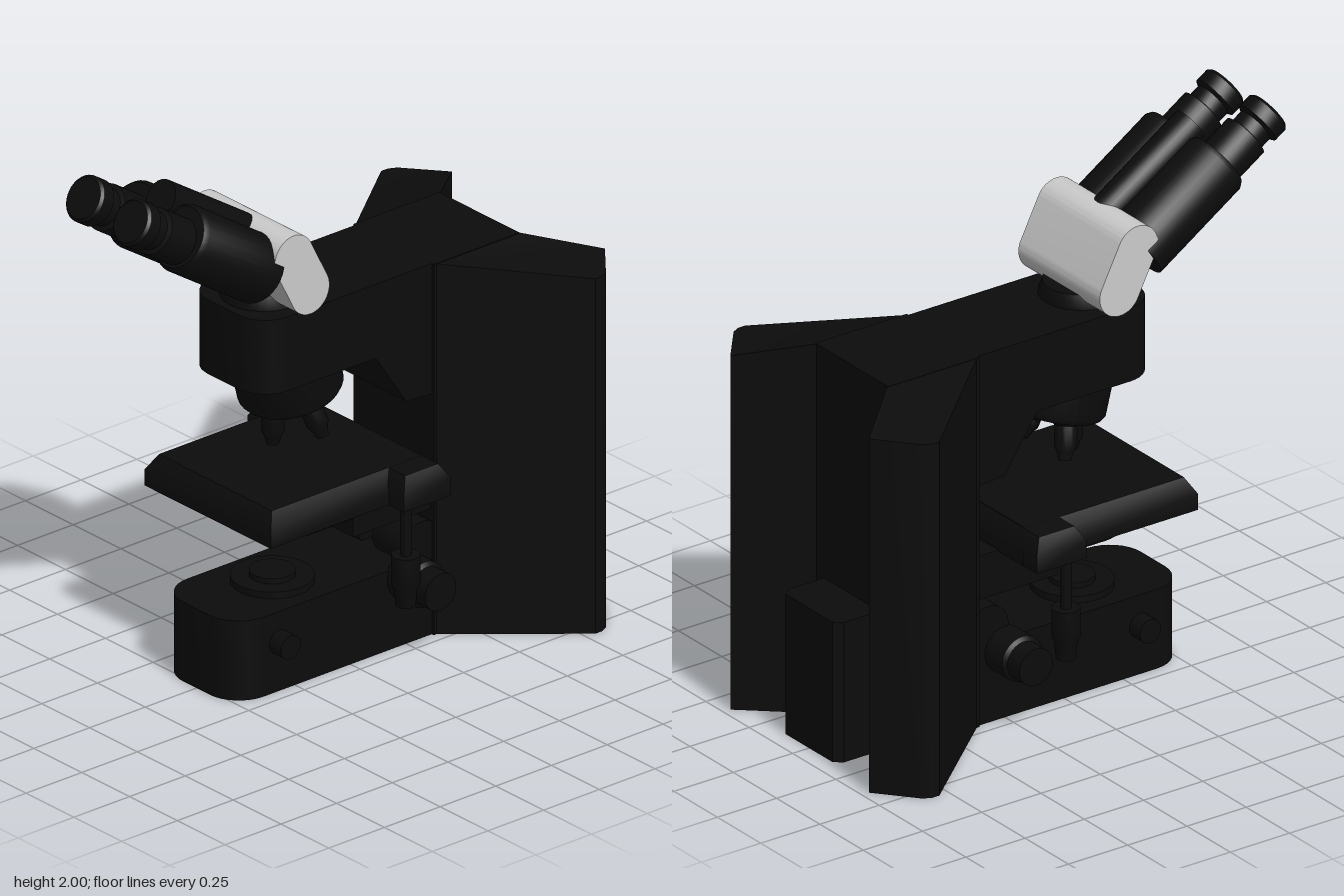
import * as THREE from 'three';
import { toCreasedNormals } from 'three/addons/utils/BufferGeometryUtils.js';

const black = new THREE.MeshStandardMaterial({ color: 0x0c0c0c });
const grey = new THREE.MeshStandardMaterial({ color: 0xcccccc });

function part(parent, name, geo, x = 0, y = 0, z = 0, mat = black) {
  const mesh = new THREE.Mesh(toCreasedNormals(geo, 0.6), mat);
  mesh.name = name;
  mesh.position.set(x, y, z);
  parent.add(mesh);
  return mesh;
}

function box(parent, name, x0, x1, y0, y1, z0, z1) {
  const geo = new THREE.BoxGeometry(x1 - x0, y1 - y0, z1 - z0);
  return part(parent, name, geo, (x0 + x1) / 2, (y0 + y1) / 2, (z0 + z1) / 2);
}

// Turned part: [radius, height] points, closed by the axis
function turned(points, seg = 32) {
  return new THREE.LatheGeometry(points.map(p => new THREE.Vector2(p[0], p[1])), seg);
}

// Outline of [x, z] points raised from the ground plane
function fromPlan(points, height) {
  const shape = new THREE.Shape(points.map(([x, z]) => new THREE.Vector2(x, -z)));
  return new THREE.ExtrudeGeometry(shape, { depth: height, bevelEnabled: false }).rotateX(-Math.PI / 2);
}

// Side outline (z, y) extruded across x, centred
function fromSide(shape, width) {
  return new THREE.ExtrudeGeometry(shape, { depth: width, bevelEnabled: false, curveSegments: 16 })
    .rotateY(-Math.PI / 2).translate(width / 2, 0, 0);
}

// Block outline with rounded front corners
function roundedFront(half, back, front, r) {
  const pts = [[-half, back], [half, back]];
  for (const side of [1, -1]) {
    for (let i = 0; i <= 8; i++) {
      const a = (side > 0 ? i : 8 - i) / 8 * Math.PI / 2;
      pts.push([side * (half - r + r * Math.cos(a)), front - r + r * Math.sin(a)]);
    }
  }
  return pts;
}

// Box whose top edge is chamfered
function chamferedSlab(x, y0, y1, z0, z1, inset, drop) {
  const geo = new THREE.BoxGeometry(2 * x, y1 - y0, z1 - z0, 1, 2, 1);
  const p = geo.attributes.position, h = (y1 - y0) / 2;
  for (let i = 0; i < p.count; i++) {
    if (p.getY(i) > h - 0.001) {
      p.setX(i, p.getX(i) - Math.sign(p.getX(i)) * inset);
      p.setZ(i, p.getZ(i) - Math.sign(p.getZ(i)) * inset);
    } else if (Math.abs(p.getY(i)) < 0.001) p.setY(i, h - drop);
  }
  return geo.translate(0, (y0 + y1) / 2, (z0 + z1) / 2);
}

function buildStand(g) {
  part(g, 'base', fromPlan(roundedFront(0.2, -0.4, 0.52, 0.13), 0.3));
  box(g, 'column', -0.21, 0.21, 0, 1.4, -0.75, -0.365);
  part(g, 'armHead', fromPlan(roundedFront(0.2, -0.4, 0.4, 0.12), 0.28), 0, 1.12, 0);
  const gusset = new THREE.Shape([[-0.4, 0.905], [-0.25, 0.915], [-0.11, 1.125], [-0.4, 1.125]]
    .map(p => new THREE.Vector2(...p)));
  part(g, 'armGusset', fromSide(gusset, 0.4));
  part(g, 'rearBox', fromPlan([[-0.16, -0.7], [0.16, -0.7], [0.16, -0.9], [0.135, -0.93], [-0.135, -0.93], [-0.16, -0.9]], 0.53));

  // Diagonal wings, their tops falling towards the tips
  for (const s of [-1, 1]) {
    const plan = [[0.2, -0.365], [0.56, -0.79], [0.56, -0.82], [0.545, -0.85], [0.4, -0.97], [0.2, -0.745]];
    const geo = fromPlan(plan.map(([x, z]) => [s * x, z]), 1.4);
    const p = geo.attributes.position;
    for (let i = 0; i < p.count; i++) {
      if (p.getY(i) > 1 && Math.abs(p.getX(i)) > 0.3) p.setY(i, 1.34);
    }
    part(g, s > 0 ? 'leftWing' : 'rightWing', geo);
  }
  part(g, 'lightPort', turned([[0, 0.29], [0.145, 0.29], [0.145, 0.325], [0.08, 0.325], [0.08, 0.345], [0, 0.345]]), 0, 0, 0.18);
}

function buildStage(g) {
  part(g, 'stagePlate', chamferedSlab(0.33, 0.63, 0.75, -0.27, 0.47, 0.035, 0.06));
  part(g, 'stageCrossbar', chamferedSlab(0.41, 0.63, 0.749, -0.268, -0.06, 0.03, 0.05));
  box(g, 'stageBracket', -0.19, 0.19, 0.47, 0.635, -0.37, -0.02);
  part(g, 'condenserHolder', fromPlan(roundedFront(0.19, -0.1, 0.31, 0.13), 0.095), 0, 0.54, 0);

  for (const s of [-1, 1]) {
    part(g, 'stageKnob', turned([[0, 0.25], [0.035, 0.25], [0.04, 0.31], [0.05, 0.33], [0.05, 0.44], [0.02, 0.44], [0.02, 0.64], [0, 0.64]], 24), s * 0.36, 0, -0.11);
    // Stepped coaxial focus knobs, the boss behind them and a small base knob
    const focus = turned([[0, 0], [0.085, 0], [0.085, 0.11], [0.07, 0.12], [0.07, 0.19], [0, 0.19]]);
    part(g, 'focusKnob', focus, s * 0.19, 0.26, -0.25).rotation.z = -s * Math.PI / 2;
    const boss = new THREE.CylinderGeometry(0.085, 0.085, 0.16, 32);
    part(g, 'focusBoss', boss, s * 0.12, 0.355, -0.32).rotation.z = Math.PI / 2;
    const small = new THREE.CylinderGeometry(0.045, 0.045, 0.08, 24);
    part(g, 'baseKnob', small, s * 0.22, 0.185, 0.32).rotation.z = Math.PI / 2;
  }
}

function buildNosepiece(g) {
  const tilt = 0.25;
  const nose = new THREE.Group();
  nose.name = 'nosepiece';
  nose.position.set(0, 0.995, 0.095);
  nose.rotation.x = tilt;
  g.add(nose);
  part(nose, 'turret', turned([[0, 0], [0.175, 0], [0.185, 0.015], [0.185, 0.2], [0, 0.2]]));
  // Objectives splayed around the turret, the front one upright
  [0.155, 0.15, 0.1, 0.15].forEach((length, i) => {
    const arm = new THREE.Group();
    arm.name = 'objective';
    arm.rotation.y = i * Math.PI / 2;
    nose.add(arm);
    const barrel = turned([[0, -length], [0.022, -length], [0.03, -length + 0.03], [0.04, -length + 0.05],
      [0.04, -0.03], [0.046, -0.025], [0.046, 0.03], [0, 0.03]], 24);
    part(arm, 'objectiveBarrel', barrel, 0, 0, 0.085).rotation.x = -tilt;
  });
}

function buildViewingHead(g) {
  part(g, 'headMount', turned([[0, 1.39], [0.15, 1.39], [0.15, 1.41], [0.135, 1.45], [0, 1.45]]), 0, 0, 0.22);

  // Rounded grey prism housing
  const a = Math.atan2(0.15, 0.075), q = Math.PI / 2, shape = new THREE.Shape();
  shape.absarc(0.285, 1.635, 0.085, a - q, a + q);
  shape.absarc(0.21, 1.487, 0.085, a + q, a + 3 * q);
  part(g, 'prismHousing', fromSide(shape, 0.47), 0, 0, 0, grey);

  const head = new THREE.Group();
  head.name = 'binocularHead';
  head.position.set(0, 1.475, 0.42);
  head.rotation.x = -0.583;
  g.add(head);
  for (const s of [-1, 1]) {
    part(head, 'tubeBody', turned([[0, 0], [0.122, 0], [0.122, 0.4], [0.11, 0.42], [0, 0.42]]).rotateX(q), s * 0.123, 0.12, 0);
    const ocular = [[0, 0.4], [0.085, 0.4], [0.085, 0.55], [0.068, 0.555], [0.068, 0.6], [0.085, 0.61], [0.085, 0.66], [0.075, 0.67], [0, 0.67]];
    part(head, 'eyepiece', turned(ocular).rotateX(q), s * 0.123, 0.105, 0);
  }
  box(head, 'tubeBridge', -0.12, 0.12, 0.07, 0.2, 0, 0.4);
  part(head, 'centreRidge', new THREE.CylinderGeometry(0.065, 0.065, 0.43, 24).rotateX(q), 0, 0.215, 0.237);
}

export function createModel() {
  const model = new THREE.Group();
  model.name = 'microscope';
  buildStand(model);
  buildStage(model);
  buildNosepiece(model);
  buildViewingHead(model);
  return model;
}
